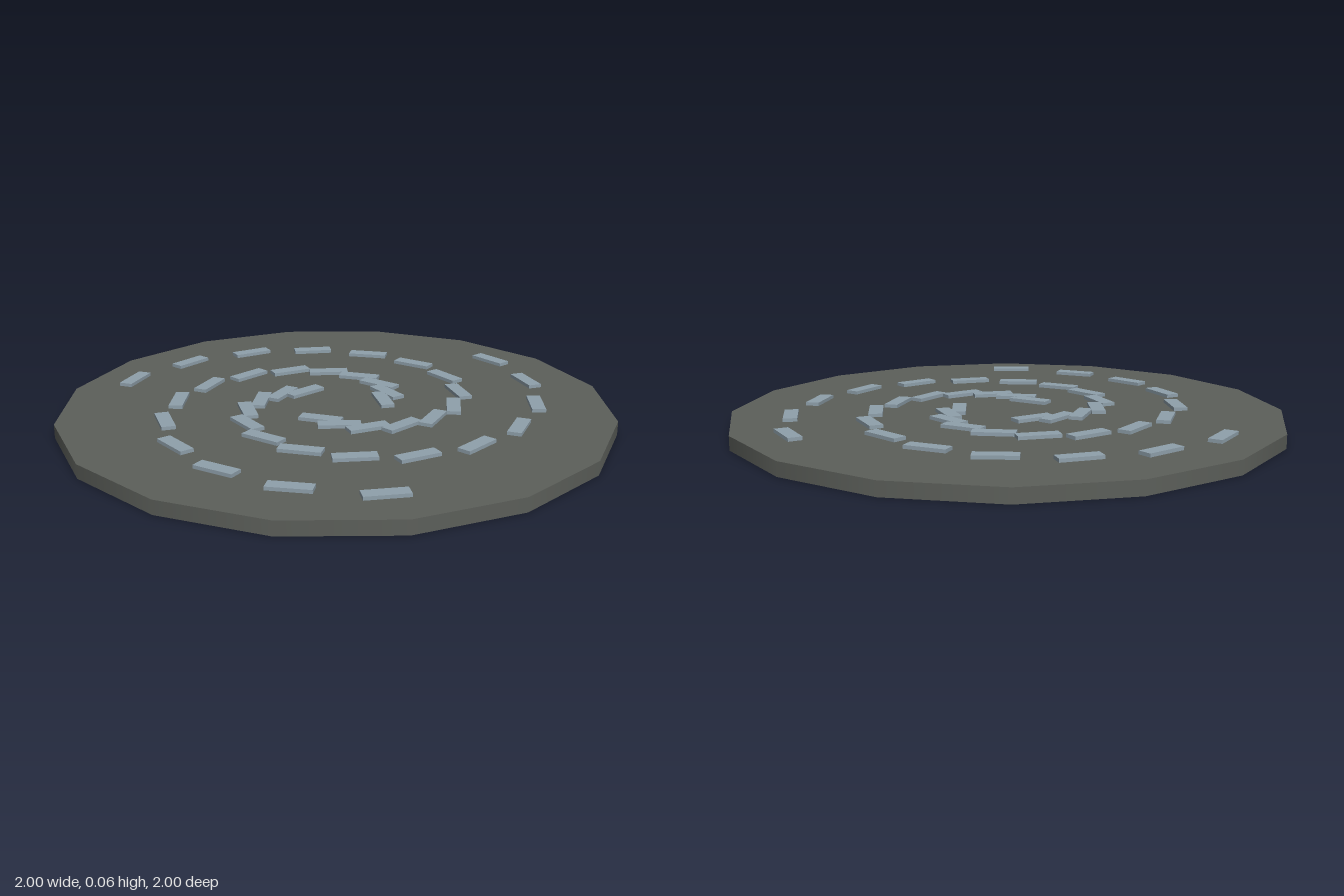
import * as THREE from 'three';

const DISC_HEIGHT = 0.05;
const ARMS = 3;
const TILES_PER_ARM = 14;

export function createModel() {
  const model = new THREE.Group();
  model.name = 'spiralDisc';

  // Sixteen-sided base plate
  const base = new THREE.Mesh(
    new THREE.CylinderGeometry(1, 1, DISC_HEIGHT, 16),
    new THREE.MeshStandardMaterial({ color: 0x5c5f5a })
  );
  base.name = 'baseDisc';
  base.position.y = DISC_HEIGHT / 2;
  model.add(base);

  // Low tiles laid tangentially along three outward spirals
  const tileGeometry = new THREE.BoxGeometry(0.05, 0.0125, 0.15);
  const tileMaterial = new THREE.MeshStandardMaterial({ color: 0x8fa0ab });
  for (let a = 0; a < ARMS; a++) {
    const arm = new THREE.Group();
    arm.name = `spiralArm${a + 1}`;
    arm.rotation.y = (a * Math.PI * 2) / ARMS;
    for (let i = 0; i < TILES_PER_ARM; i++) {
      const angle = i * 0.36;
      const radius = 0.175 + i * 0.05;
      const tile = new THREE.Mesh(tileGeometry, tileMaterial);
      tile.name = `spiralTile${i + 1}`;
      // Tiny height steps keep overlapping tops from coinciding
      tile.position.set(
        Math.cos(angle) * radius,
        DISC_HEIGHT + 0.00625 + (i % 2) * 0.0002,
        -Math.sin(angle) * radius
      );
      tile.rotation.y = angle;
      arm.add(tile);
    }
    model.add(arm);
  }
  return model;
}
